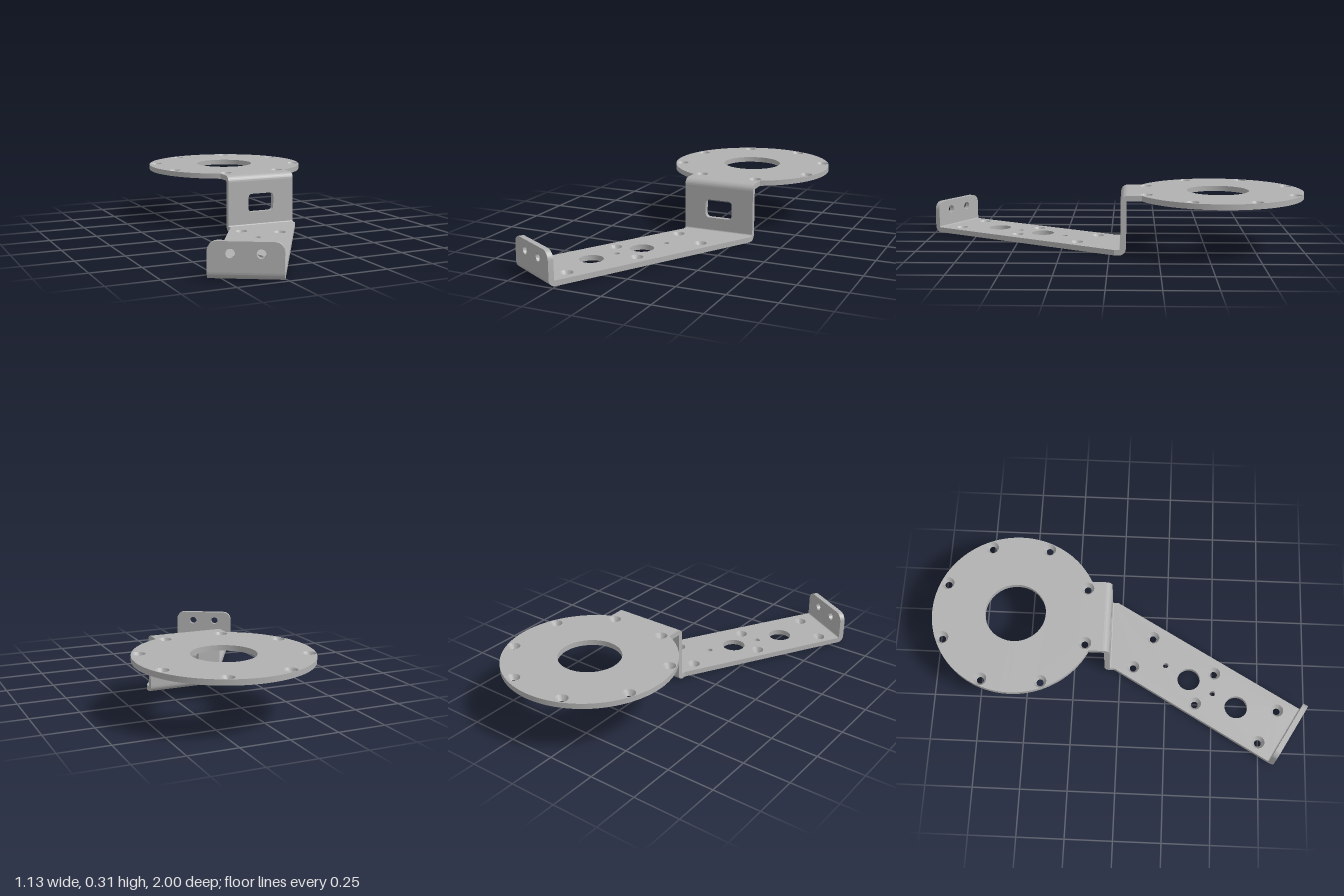
import * as THREE from 'three';
import { toCreasedNormals } from 'three/addons/utils/BufferGeometryUtils.js';

const T = 0.028;            // sheet thickness
const RI = 0.006, RO = RI + T; // bend radii

function circle(x, y, r, n = 32) {
  return Array.from({ length: n }, (_, i) => {
    const a = (i / n) * Math.PI * 2;
    return new THREE.Vector2(x + r * Math.cos(a), y + r * Math.sin(a));
  });
}

// Rectangle with its own radius for the lower and upper corners, counter-clockwise
function roundedRect(x0, y0, x1, y1, rLow, rHigh) {
  const pts = [];
  const corners = [[x1, y0, rLow, -1, 1, -90], [x1, y1, rHigh, -1, -1, 0], [x0, y1, rHigh, 1, -1, 90], [x0, y0, rLow, 1, 1, 180]];
  for (const [x, y, r, sx, sy, start] of corners) {
    const n = r > 0 ? 8 : 0;
    for (let i = 0; i <= n; i++) {
      const a = THREE.MathUtils.degToRad(start + (n ? (90 * i) / n : 0));
      pts.push(new THREE.Vector2(x + sx * r + r * Math.cos(a), y + sy * r + r * Math.sin(a)));
    }
  }
  return pts;
}

const plainHole = (x, y, r) => ({ low: circle(x, y, r), high: circle(x, y, r) });
const sunkHole = (x, y) => ({ low: circle(x, y, 0.018), high: circle(x, y, 0.034) });

// Sheet from z = 0 to T; each hole has one loop per face, so it can taper
function slab(outline, holes) {
  const pos = [];
  const cap = (key, z, flip) => {
    const loops = holes.map((h) => h[key]);
    const all = [outline, ...loops].flat();
    for (const [a, b, c] of THREE.ShapeUtils.triangulateShape(outline, loops)) {
      for (const i of flip ? [a, c, b] : [a, b, c]) pos.push(all[i].x, all[i].y, z);
    }
  };
  const wall = (low, high, inward) => {
    low.forEach((p, i) => {
      const j = (i + 1) % low.length;
      const A = [p.x, p.y, 0], B = [low[j].x, low[j].y, 0];
      const C = [high[j].x, high[j].y, T], D = [high[i].x, high[i].y, T];
      pos.push(...(inward ? [A, C, B, A, D, C] : [A, B, C, A, C, D]).flat());
    });
  };
  cap('high', T, false);
  cap('low', 0, true);
  wall(outline, outline, false);
  for (const h of holes) wall(h.low, h.high, true);
  const g = new THREE.BufferGeometry();
  g.setAttribute('position', new THREE.Float32BufferAttribute(pos, 3));
  return toCreasedNormals(g, 0.5);
}

// Quarter bend running along x, centred on its axis
function bend(width, start) {
  const s = new THREE.Shape();
  s.absarc(0, 0, RO, start, start + Math.PI / 2, false);
  s.absarc(0, 0, RI, start + Math.PI / 2, start, true);
  const g = new THREE.ExtrudeGeometry(s, { depth: width, bevelEnabled: false, curveSegments: 10 });
  g.rotateY(-Math.PI / 2).translate(width / 2, 0, 0);
  return toCreasedNormals(g, 0.5);
}

export function createModel() {
  const model = new THREE.Group();
  model.name = 'mountingBracket';
  const metal = new THREE.MeshStandardMaterial({ color: 0xb0b0b0 });
  metal.name = 'grey sheet metal';
  const add = (name, geometry, parent, x = 0, y = 0, z = 0) => {
    const m = new THREE.Mesh(geometry, metal);
    m.name = name;
    m.position.set(x, y, z);
    parent.add(m);
    return m;
  };
  const V = (x, z) => new THREE.Vector2(x, -z);

  const cx = 0.125, cz = -0.56, R = 0.44, half = 0.195, top = 0.305;
  const wallFront = -0.057;

  // Round upper plate with a short neck
  const outline = [V(cx - half, wallFront - RO), V(cx + half, wallFront - RO)];
  const a0 = -Math.acos(half / R), a1 = Math.PI - a0;
  for (let i = 0; i <= 96; i++) {
    const a = a0 + ((a1 - a0) * i) / 96;
    outline.push(new THREE.Vector2(cx + R * Math.cos(a), -cz + R * Math.sin(a)));
  }
  const discHoles = [{ low: circle(cx, -cz, 0.16, 64), high: circle(cx, -cz, 0.16, 64) }];
  for (let i = 0; i < 8; i++) {
    const a = ((i + 0.5) * Math.PI) / 4;
    discHoles.push(sunkHole(cx + 0.404 * Math.cos(a), -cz + 0.404 * Math.sin(a)));
  }
  add('roundPlate', slab(outline, discHoles).rotateX(-Math.PI / 2), model, 0, top - T, 0);

  // Upright wall with window, and its two bends
  const win = roundedRect(cx - 0.075, 0.1, cx + 0.075, 0.2, 0.02, 0.02);
  add('uprightWall', slab(roundedRect(cx - half, RO, cx + half, top - RO, 0, 0), [{ low: win, high: win }]), model, 0, 0, wallFront - T);
  add('upperBend', bend(half * 2, 0), model, cx, top - RO, wallFront - RO);
  add('lowerBend', bend(half * 2, Math.PI), model, cx, RO, wallFront - T + RO);

  // Slanted arm
  const armStart = wallFront - T + RO;
  const armOutline = [V(cx - half, armStart), V(-0.07, -0.031), V(-0.55, 0.8005), V(-0.255, 0.9705), V(0.32, -0.026), V(cx + half, armStart)];
  const sunk = [[-0.055, 0.07], [0.12, 0.175], [-0.25, 0.41], [-0.075, 0.513], [-0.45, 0.75], [-0.27, 0.853]];
  const plain = [[-0.115, 0.375, 0.061], [-0.262, 0.632, 0.061], [-0.04, 0.248, 0.015], [-0.19, 0.505, 0.015]];
  const armHoles = [...sunk.map(([x, z]) => sunkHole(x, -z)), ...plain.map(([x, z, r]) => plainHole(x, -z, r))];
  add('arm', slab(armOutline, armHoles).rotateX(-Math.PI / 2), model);

  // Upturned end flange
  const flange = new THREE.Group();
  flange.name = 'endFlange';
  flange.position.set(-0.4195, 0, 0.915);
  flange.rotation.y = -Math.PI / 6;
  model.add(flange);
  const w = 0.34;
  add('flangePlate', slab(roundedRect(-w / 2, RO, w / 2, 0.173, 0, 0.045), [-0.068, 0.068].map((x) => plainHole(x, 0.119, 0.021))), flange, 0, 0, -T);
  add('flangeBend', bend(w, -Math.PI / 2), flange, 0, RO, -RO);

  return model;
}
